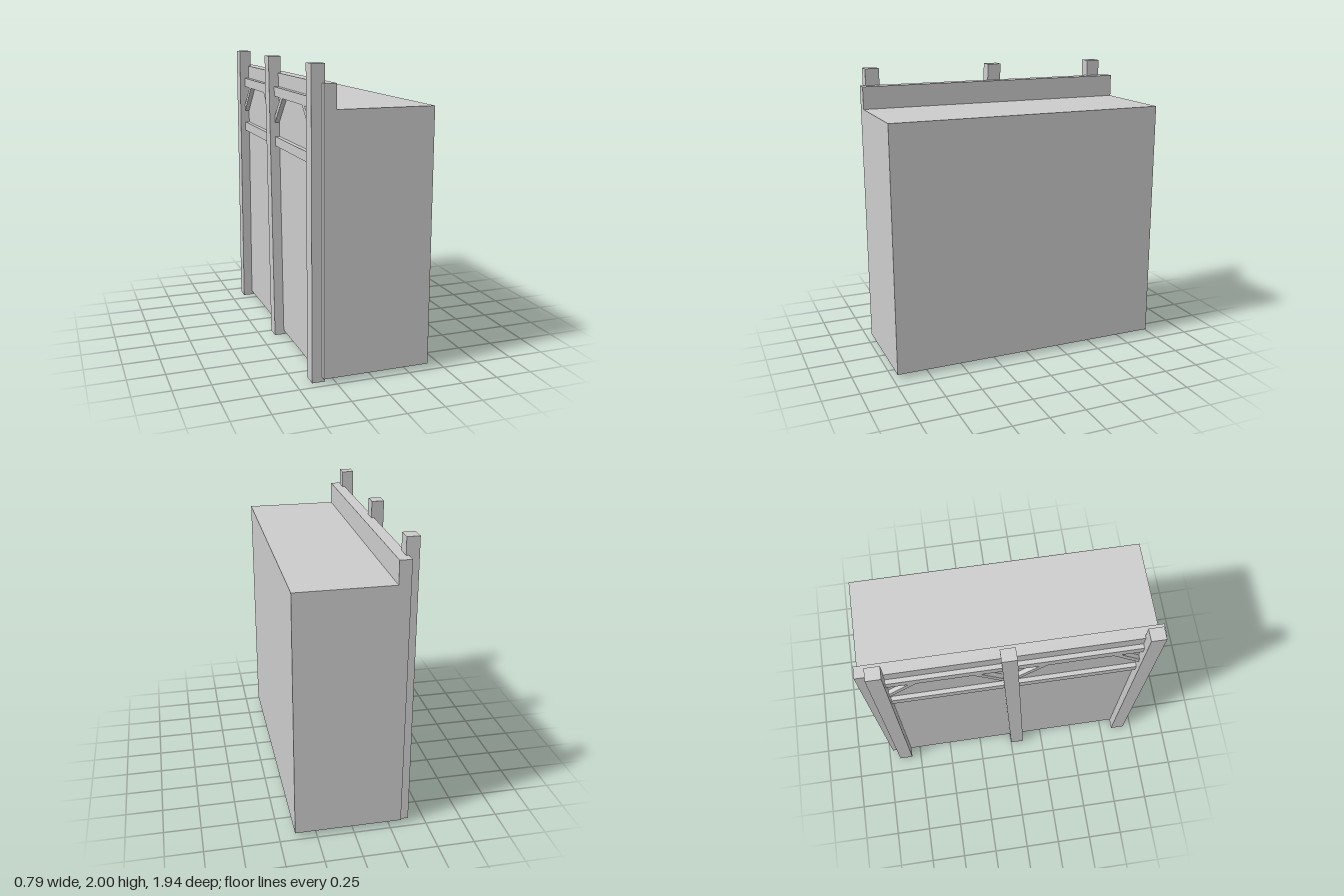
import * as THREE from 'three';

export function createModel() {
  const model = new THREE.Group();
  const grey = new THREE.MeshStandardMaterial({ color: 0xcccccc });
  grey.name = 'plain grey';

  const add = (name, geometry, x = 0, y = 0, z = 0) => {
    const mesh = new THREE.Mesh(geometry, grey);
    mesh.name = name;
    mesh.position.set(x, y, z);
    model.add(mesh);
    return mesh;
  };

  // Solid block with a raised parapet, one profile extruded along z
  const profile = new THREE.Shape([
    [-0.33, 0.03], [0.395, 0.03], [0.395, 1.73],
    [-0.25, 1.73], [-0.25, 1.885], [-0.33, 1.885],
  ].map(([x, y]) => new THREE.Vector2(x, y)));
  add('block', new THREE.ExtrudeGeometry(profile, { depth: 1.94, bevelEnabled: false }), 0, 0, -0.97);

  // Posts, each sheared along z from its foot to its top
  const posts = [
    { foot: 0.89, top: 0.885 },
    { foot: 0.05, top: -0.025 },
    { foot: -0.87, top: -0.842 },
  ];
  const postZ = (post, y) => THREE.MathUtils.lerp(post.foot, post.top, y / 2);
  for (const post of posts) {
    const geometry = new THREE.BoxGeometry(0.085, 2, 0.098).translate(-0.3545, 1, 0);
    const p = geometry.attributes.position;
    for (let i = 0; i < p.count; i++) p.setZ(i, p.getZ(i) + postZ(post, p.getY(i)));
    geometry.computeVertexNormals();
    add('post', geometry);
  }

  // Two rails and two corner braces in each bay
  const railX = -0.345, railDepth = 0.032;
  for (let i = 0; i < posts.length - 1; i++) {
    for (const y of [1.415, 1.76]) {
      const a = postZ(posts[i], y), b = postZ(posts[i + 1], y);
      add('rail', new THREE.BoxGeometry(railDepth, 0.065, a - b), railX, y, (a + b) / 2);
    }
    for (const [post, side] of [[posts[i], -1], [posts[i + 1], 1]]) {
      const z = postZ(post, 1.65) + side * 0.13;
      const brace = add('brace', new THREE.BoxGeometry(railDepth, 0.035, 0.29), railX, 1.645, z);
      brace.rotation.x = -side * Math.PI / 4;
    }
  }
  return model;
}
